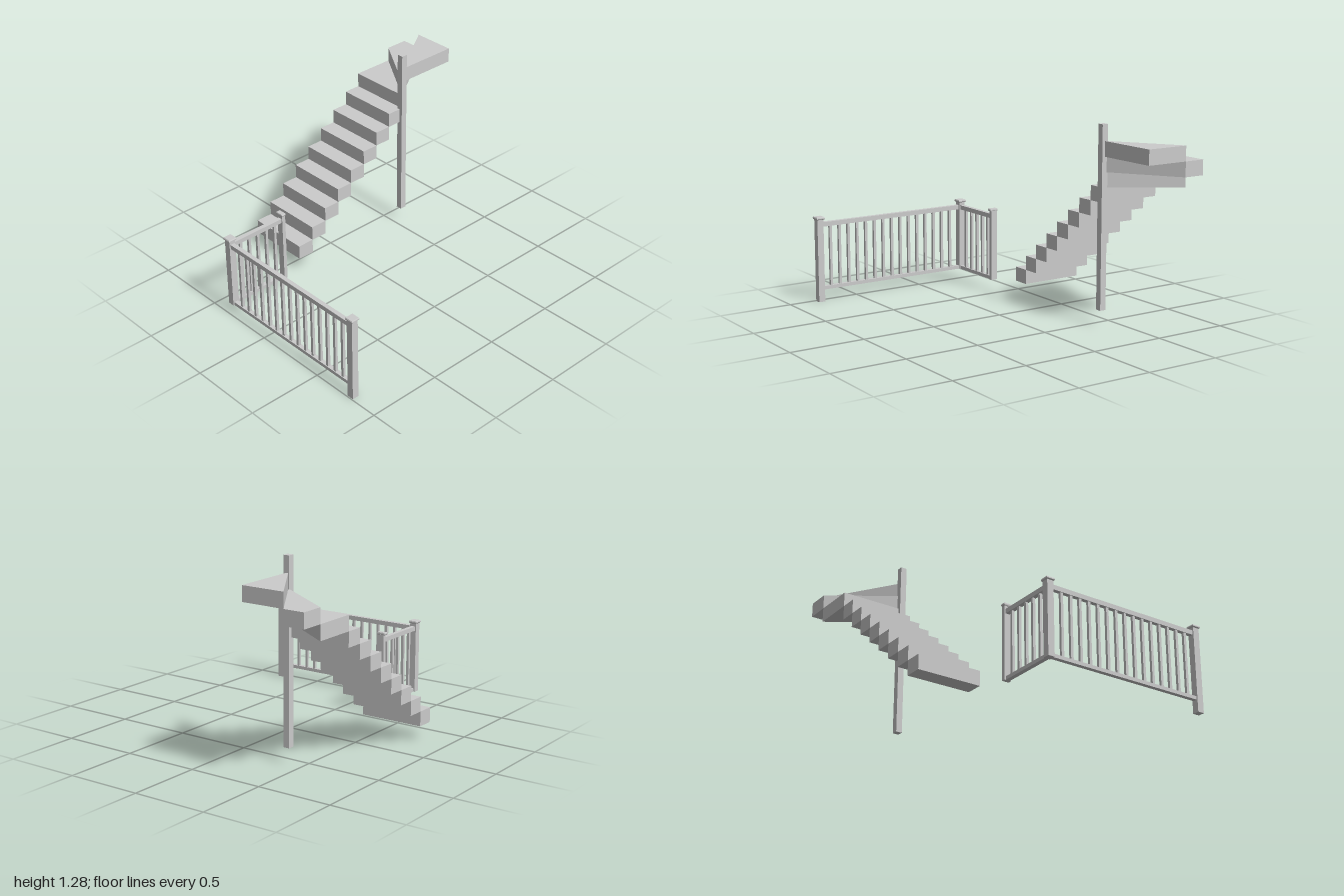
import * as THREE from 'three';

const material = new THREE.MeshStandardMaterial({ color: 0xcccccc, flatShading: true });

function add(parent, name, geometry) {
  const mesh = new THREE.Mesh(geometry, material);
  mesh.name = name;
  parent.add(mesh);
  return mesh;
}

// Box given by its limits on each axis
function box(parent, name, [x0, x1], [y0, y1], [z0, z1]) {
  const mesh = add(parent, name, new THREE.BoxGeometry(x1 - x0, y1 - y0, z1 - z0));
  mesh.position.set((x0 + x1) / 2, (y0 + y1) / 2, (z0 + z1) / 2);
}

// Flat step cut to a plan outline of [x, z] corners
function winder(parent, name, outline, y, height) {
  const shape = new THREE.Shape(outline.map(([x, z]) => new THREE.Vector2(x, -z)));
  const geometry = new THREE.ExtrudeGeometry(shape, { depth: height, bevelEnabled: false });
  geometry.rotateX(-Math.PI / 2);
  add(parent, name, geometry).position.y = y;
}

// Railing post with a chamfered square cap
function railPost(parent, name, xs, zs, y0, capXs, capZs) {
  const post = new THREE.Group();
  post.name = name;
  parent.add(post);
  box(post, 'postShaft', xs, [y0, 0.562], zs);
  const profile = [[0, 0], [0.84, 0], [1, 0.005], [1, 0.012], [0.9, 0.018], [0, 0.018]]
    .map(([r, y]) => new THREE.Vector2(r * Math.SQRT1_2, y));
  const geometry = new THREE.LatheGeometry(profile, 4);
  geometry.rotateY(Math.PI / 4);
  const cap = add(post, 'postCap', geometry);
  cap.scale.set(capXs[1] - capXs[0], 1, capZs[1] - capZs[0]);
  cap.position.set((capXs[0] + capXs[1]) / 2, 0.56, (capZs[0] + capZs[1]) / 2);
}

export function createModel() {
  const model = new THREE.Group();
  model.name = 'staircaseAndRailing';

  // Straight flight
  const stairs = new THREE.Group();
  stairs.name = 'staircase';
  model.add(stairs);
  const rise = 0.0977, run = 0.1163, startX = -0.37, startY = 0.1;
  const back = -0.82, front = -0.39, turnX = startX + 8 * run;
  for (let i = 0; i < 8; i++) {
    const x = startX + i * run, y = startY + i * rise;
    box(stairs, 'step', [x, x + run], [y, y + rise], [back, front]);
  }

  // Three winding steps fanning around the newel post
  const pivot = [turnX, front];
  const winders = [
    [pivot, [turnX, back], [0.845, back]],
    [pivot, [0.845, back], [1, back], [1, -0.68]],
    [pivot, [1, -0.68], [1, front]],
  ];
  winders.forEach((outline, i) =>
    winder(stairs, 'windingStep', outline, startY + (8 + i) * rise, rise));
  box(stairs, 'newelPost', [0.54, 0.582], [0.1, 1.28], [-0.411, -0.369]);

  // Railing posts
  const railing = new THREE.Group();
  railing.name = 'railing';
  model.add(railing);
  const postX = [-0.993, -0.948], capX = [-1, -0.941];
  railPost(railing, 'frontPost', postX, [0.766, 0.811], 0, capX, [0.759, 0.818]);
  railPost(railing, 'cornerPost', postX, [-0.352, -0.307], 0.08, capX, [-0.359, -0.3]);
  railPost(railing, 'endPost', [-0.57, -0.545], [-0.352, -0.307], 0.08,
    [-0.577, -0.545], [-0.359, -0.3]);

  // Top and bottom rails
  for (const ys of [[0.51, 0.54], [0.08, 0.103]]) {
    box(railing, 'longRail', [-0.985, -0.956], ys, [-0.307, 0.766]);
    box(railing, 'shortRail', [-0.948, -0.57], ys, [-0.344, -0.315]);
  }

  // Balusters
  const half = 0.009, railX = -0.9705, railZ = -0.3295;
  const baluster = (x, z) =>
    box(railing, 'baluster', [x - half, x + half], [0.103, 0.51], [z - half, z + half]);
  for (let i = 0; i < 15; i++) baluster(railX, 0.706 - i * 0.0674);
  for (let i = 0; i < 5; i++) baluster(-0.893 + i * 0.0685, railZ);

  return model;
}
